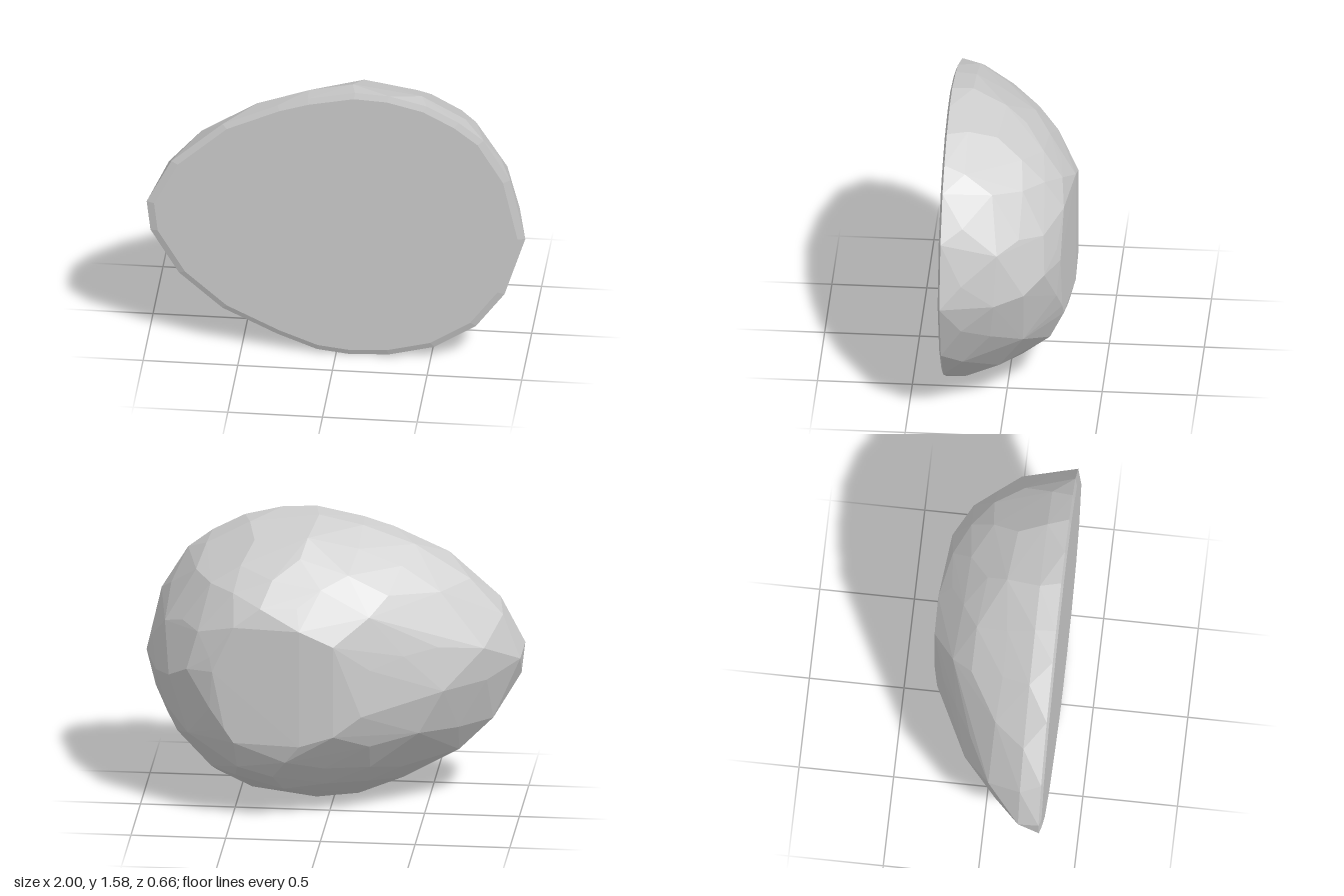
import * as THREE from 'three';
import { ConvexGeometry } from 'three/addons/geometries/ConvexGeometry.js';

// Egg-shaped rim of the flat face, clockwise from the top (x, y)
const RIM = [
  [0.10, 1.58], [0.28, 1.57], [0.48, 1.52], [0.65, 1.43], [0.78, 1.33], [0.92, 1.10],
  [1.00, 0.75], [0.89, 0.41], [0.74, 0.21], [0.52, 0.07], [0.28, 0.01], [0.07, 0],
  [-0.10, 0.02], [-0.31, 0.10], [-0.60, 0.24], [-0.83, 0.44], [-0.98, 0.69], [-1.00, 0.86],
  [-0.87, 1.11], [-0.60, 1.35], [-0.31, 1.48], [-0.15, 1.53],
];

// Dome sections: z, x range, y range, number of corners
const SECTIONS = [
  [0.21, -0.98, 0.97, 0.00, 1.57, 19],
  [0.05, -0.83, 0.925, 0.08, 1.50, 17],
  [-0.09, -0.62, 0.84, 0.15, 1.42, 15],
  [-0.20, -0.44, 0.74, 0.25, 1.33, 13],
  [-0.28, -0.25, 0.60, 0.36, 1.22, 11],
];

// Slightly tilted plateau on the back (x, y, z)
const PLATEAU = [
  [-0.05, 0.52, -0.333], [-0.05, 1.02, -0.333], [0.13, 0.46, -0.333], [0.13, 1.10, -0.333],
  [0.48, 0.46, -0.297], [0.48, 1.10, -0.297], [0.61, 0.64, -0.268], [0.61, 0.92, -0.268],
];

// Small seeded generator for the irregular facets
function seeded(seed) {
  return () => (seed = (seed * 16807) % 2147483647) / 2147483647;
}

export function createModel() {
  const random = seeded(41);
  const rim = RIM.map(([x, y]) => new THREE.Vector3(x, y, 0));
  const curve = new THREE.CatmullRomCurve3(rim, true);
  const points = PLATEAU.map((p) => new THREE.Vector3(...p));

  // Flat face with a narrow bevel at its rim
  for (const { x, y } of rim) {
    points.push(new THREE.Vector3(x, y, 0.32));
    points.push(new THREE.Vector3(x * 0.96, 0.79 + (y - 0.79) * 0.96, 0.332));
  }

  // Shrinking copies of the rim, with uneven corner spacing
  for (const [z, x0, x1, y0, y1, count] of SECTIONS) {
    const start = random();
    for (let i = 0; i < count; i++) {
      const t = ((i + start + (random() - 0.5) * 0.5) / count + 1) % 1;
      const p = curve.getPointAt(t);
      points.push(new THREE.Vector3(
        THREE.MathUtils.mapLinear(p.x, -1, 1, x0, x1),
        THREE.MathUtils.mapLinear(p.y, 0, 1.58, y0, y1),
        z + (z < 0.2 ? (random() - 0.5) * 0.05 : 0),
      ));
    }
  }

  const stone = new THREE.Mesh(
    new ConvexGeometry(points),
    new THREE.MeshStandardMaterial({ color: 0xcccccc, flatShading: true }),
  );
  stone.name = 'halfPebble';

  const model = new THREE.Group();
  model.name = 'stone';
  model.add(stone);
  return model;
}
